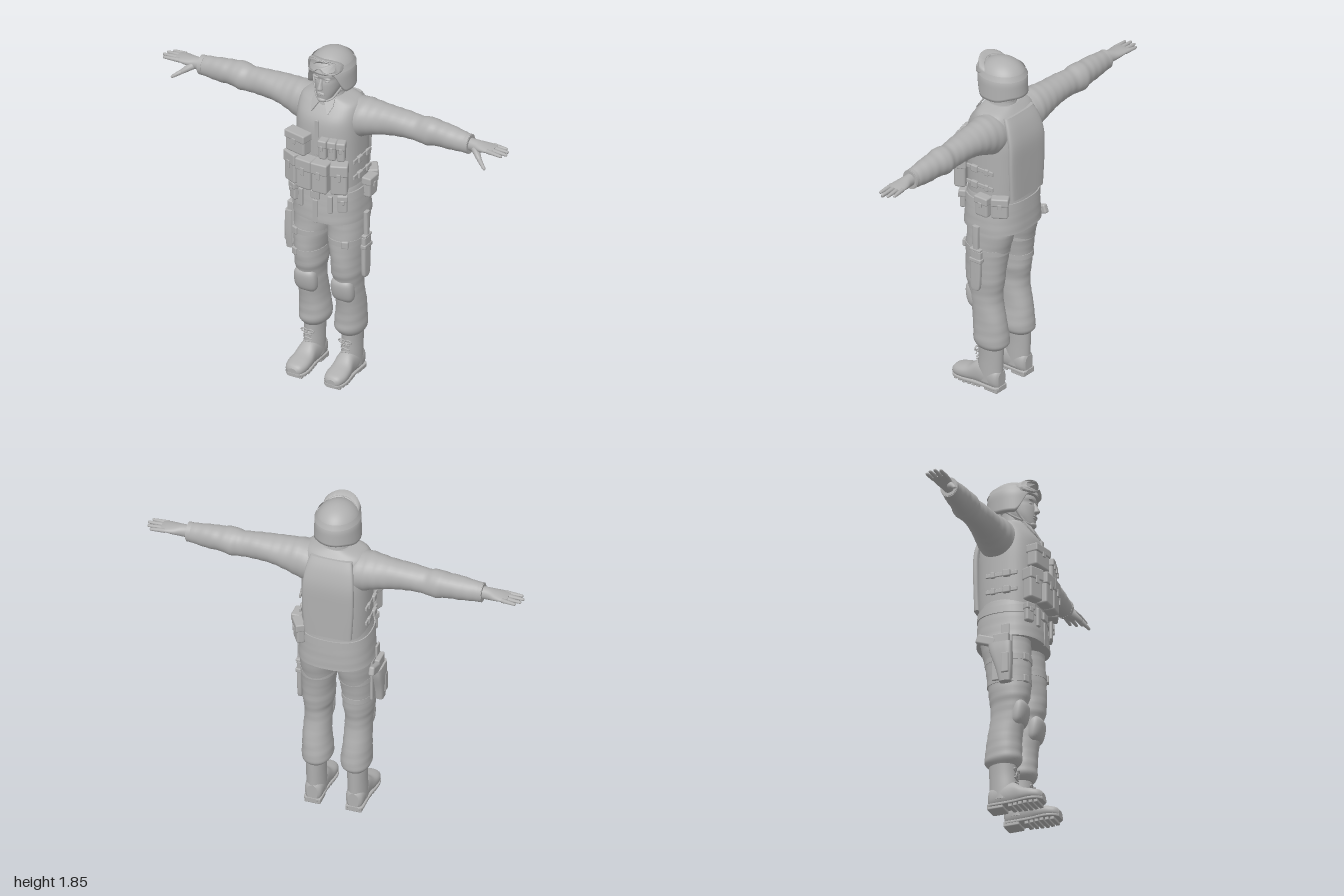
import * as THREE from 'three';
import { toCreasedNormals } from 'three/addons/utils/BufferGeometryUtils.js';
import { RoundedBoxGeometry } from 'three/addons/geometries/RoundedBoxGeometry.js';

const grey = new THREE.MeshStandardMaterial({ color: 0xb0b0b0, side: THREE.DoubleSide });
grey.name = 'grey';
const V = (x, y, z) => new THREE.Vector3(x, y, z);

// Smooth skin over closed rings of points, with optional flat end caps
function skin(rings, caps = true) {
  const n = rings[0].length, pos = [], idx = [];
  rings.forEach(r => r.forEach(p => pos.push(p.x, p.y, p.z)));
  for (let i = 0; i < rings.length - 1; i++) for (let j = 0; j < n; j++) {
    const a = i * n + j, b = i * n + (j + 1) % n;
    idx.push(a, b, a + n, b, b + n, a + n);
  }
  if (caps) [rings[0], rings[rings.length - 1]].forEach((r, k) => {
    const base = pos.length / 3, c = V(0, 0, 0);
    r.forEach(p => { pos.push(p.x, p.y, p.z); c.addScaledVector(p, 1 / n); });
    pos.push(c.x, c.y, c.z);
    for (let j = 0; j < n; j++) {
      const a = base + j, b = base + (j + 1) % n;
      k ? idx.push(a, b, base + n) : idx.push(b, a, base + n);
    }
  });
  const g = new THREE.BufferGeometry();
  g.setAttribute('position', new THREE.Float32BufferAttribute(pos, 3));
  g.setIndex(idx);
  g.computeVertexNormals();
  return g;
}

// Loft along an axis; a row is [t, centreA, centreB, radiusA, radiusB]
function loft(axis, rows, { e = 2, folds = 0, caps = true, steps = 4, n = 32 } = {}) {
  rows = [...rows].sort((p, q) => p[0] - q[0]);
  const at = i => rows[Math.max(0, Math.min(rows.length - 1, i))], rings = [];
  for (let i = 0; i < rows.length - 1; i++) for (let k = 0; k < steps + (i === rows.length - 2 ? 1 : 0); k++) {
    const u = k / steps;
    const [t, ca, cb, ra, rb] = rows[0].map((_, c) => {
      const [p, q, r, s] = [-1, 0, 1, 2].map(d => at(i + d)[c]);
      return q + 0.5 * u * (r - p + u * (2 * p - 5 * q + 4 * r - s + u * (3 * (q - r) + s - p)));
    });
    rings.push(Array.from({ length: n }, (_, j) => {
      const w = j / n * Math.PI * 2 * (axis === 'y' ? -1 : 1), C = Math.cos(w), S = Math.sin(w);
      const f = 1 + folds * Math.sin(2 * w + 45 * t) * Math.sin(70 * t - w);
      const a = ca + ra * f * Math.sign(C) * Math.abs(C) ** (2 / e);
      const b = cb + rb * f * Math.sign(S) * Math.abs(S) ** (2 / e);
      return axis === 'x' ? V(t, a, b) : axis === 'y' ? V(a, t, b) : V(a, b, t);
    }));
  }
  return skin(rings, caps);
}
// Body rows are [y, half width, front z, back z]
const body = rows => rows.map(([y, rx, f, b]) => [y, 0, (f + b) / 2, rx, (f - b) / 2]);

export function createModel() {
  const model = new THREE.Group();
  model.name = 'soldier';
  const add = (name, geo, x = 0, y = 0, z = 0, rx = 0, ry = 0, rz = 0) => {
    const m = new THREE.Mesh(geo, grey);
    m.name = name;
    m.position.set(x, y, z);
    m.rotation.set(rx, ry, rz);
    model.add(m);
    return m;
  };
  const box = (w, h, d, r = 0.006) => new RoundedBoxGeometry(w, h, d, 2, Math.min(r, w / 3, h / 3, d / 3));
  const ball = (name, x, y, z, a, b, c) => add(name, new THREE.SphereGeometry(1, 20, 14).scale(a, b, c), x, y, z);
  const tube = (name, pts, r, closed = false) =>
    add(name, new THREE.TubeGeometry(new THREE.CatmullRomCurve3(pts.map(p => V(...p)), closed), 32, r, 8, closed));
  const limb = (name, p, q, r0, r1) => {
    const d = V(...q).sub(V(...p)), L = d.length();
    const prof = [[0, 0], [r0, 0], [r1, L - r1], [r1 * 0.7, L - r1 * 0.3], [0, L]].map(c => new THREE.Vector2(...c));
    add(name, new THREE.LatheGeometry(prof, 10), ...p).quaternion.setFromUnitVectors(V(0, 1, 0), d.normalize());
  };
  // Pouch with an overhanging flap and a snap
  const pouch = (name, w, h, d, x, y, z, ry = 0) => {
    const g = new THREE.Group();
    g.name = name;
    [[box(w, h, d, 0.012), 0, 0], [box(w + 0.006, h * 0.38, d + 0.01, 0.008), h * 0.32, 0.001],
      [box(Math.min(0.022, w * 0.4), h * 0.25, 0.008), h * 0.12, d / 2 + 0.006]].forEach(([geo, py, pz], i) => {
      const m = new THREE.Mesh(geo, grey);
      m.name = ['pouchBody', 'pouchFlap', 'pouchTab'][i];
      m.position.set(0, py, pz);
      g.add(m);
    });
    g.position.set(x, y, z);
    g.rotation.y = ry;
    model.add(g);
  };

  // Torso, jacket skirt, back panel and belt
  add('vest', loft('y', body([[1.08, 0.172, 0.125, -0.187], [1.2, 0.174, 0.13, -0.19], [1.32, 0.175, 0.132, -0.19],
    [1.42, 0.175, 0.133, -0.188], [1.5, 0.172, 0.122, -0.172], [1.56, 0.167, 0.085, -0.148],
    [1.59, 0.145, 0.06, -0.125], [1.612, 0.075, 0.05, -0.105]]), { e: 2.6, n: 48 }));
  add('jacketSkirt', loft('y', body([[0.93, 0.194, 0.148, -0.2], [0.98, 0.19, 0.146, -0.198], [1.05, 0.184, 0.14, -0.195],
    [1.12, 0.176, 0.13, -0.19], [1.15, 0.17, 0.12, -0.185]]), { e: 2.5, n: 48, folds: 0.008 }));
  add('backPanel', loft('y', [[1.13, 0, -0.178, 0.125, 0.02], [1.3, 0, -0.18, 0.135, 0.02], [1.43, 0, -0.178, 0.135, 0.02],
    [1.52, 0, -0.155, 0.125, 0.02], [1.58, 0, -0.125, 0.11, 0.02]], { e: 3.5 }));
  add('belt', loft('y', body([[1.065, 0.188, 0.144, -0.198], [1.105, 0.184, 0.14, -0.196]]), { e: 2.5, n: 48 }));
  add('beltBuckle', box(0.05, 0.042, 0.012), 0, 1.085, 0.146);
  add('placket', box(0.03, 0.13, 0.008), 0, 0.99, 0.147);
  add('vestPlacket', box(0.025, 0.2, 0.008), 0, 1.41, 0.132);

  // Collar with two pointed wings
  add('collar', loft('y', [[1.555, 0, -0.02, 0.088, 0.1], [1.59, 0, -0.018, 0.074, 0.088], [1.625, 0, -0.024, 0.066, 0.074]],
    { caps: false }));
  for (const s of [-1, 1]) {
    const wing = new THREE.Shape([[0.004, 0.02], [0.06, 0.035], [0.062, -0.01], [0.046, -0.06]].map(p => new THREE.Vector2(p[0] * s, p[1])));
    add('collarWing', new THREE.ExtrudeGeometry(wing, { depth: 0.008, bevelEnabled: false }), 0, 1.59, 0.076, -0.6, s * 0.2);
  }

  // Front pouches
  pouch('chestPouch', 0.125, 0.118, 0.06, -0.098, 1.37, 0.148, -0.2);
  [0.05, 0.096, 0.141].forEach((x, i) => pouch('magazinePouch', 0.042, 0.11, 0.045, x, 1.37, 0.15 - i * 0.011, 0.13 + 0.12 * i));
  for (const s of [-1, 1]) {
    pouch('frontPouch', 0.086, 0.17, 0.065, s * 0.044, 1.212, 0.16, s * 0.06);
    pouch('sidePouch', 0.086, 0.17, 0.06, s * 0.132, 1.212, 0.132, s * 0.42);
    pouch('beltPouch', 0.05, 0.1, 0.03, s * 0.14, 1.06, 0.115, s * 0.5);
    add('beltTab', box(0.026, 0.1, 0.016), s * 0.085, 1.05, 0.144, 0, s * 0.2);
    // Side straps with buckles
    for (const y of [1.19, 1.28]) {
      add('sideStrap', box(0.01, 0.022, 0.17, 0.003), s * 0.175, y, -0.02);
      add('sideBuckle', box(0.02, 0.038, 0.04), s * 0.18, y, 0.01);
      add('sideBuckle', box(0.016, 0.034, 0.025), s * 0.178, y, -0.065);
    }
  }
  pouch('hipPouch', 0.078, 0.112, 0.045, 0.197, 1.098, -0.06, Math.PI / 2);
  pouch('hipPouch', 0.085, 0.115, 0.045, 0.165, 1.1, -0.142, Math.PI * 0.68);

  for (const s of [-1, 1]) {
    // Sleeves, hands and fingers
    const along = rows => rows.map(([x, ...r]) => [s * x, ...r]);
    add('sleeve', loft('x', along([[0.1, 1.475, -0.05, 0.11, 0.105], [0.17, 1.49, -0.053, 0.106, 0.1], [0.24, 1.502, -0.057, 0.09, 0.088],
      [0.32, 1.51, -0.06, 0.077, 0.077], [0.42, 1.512, -0.062, 0.07, 0.068], [0.49, 1.508, -0.064, 0.068, 0.063],
      [0.545, 1.51, -0.066, 0.074, 0.071], [0.6, 1.512, -0.066, 0.066, 0.062], [0.66, 1.51, -0.064, 0.064, 0.058],
      [0.73, 1.508, -0.062, 0.056, 0.05], [0.785, 1.507, -0.06, 0.05, 0.044]]), { folds: 0.03, steps: 5 }));
    add('cuff', loft('x', along([[0.762, 1.507, -0.06, 0.053, 0.047], [0.782, 1.507, -0.06, 0.053, 0.047]])));
    add('hand', loft('x', along([[0.76, 1.508, -0.06, 0.034, 0.03], [0.81, 1.508, -0.06, 0.032, 0.032], [0.85, 1.51, -0.062, 0.024, 0.042],
      [0.89, 1.513, -0.064, 0.016, 0.046], [0.92, 1.514, -0.066, 0.009, 0.043]])));
    [[-0.1, 0.972], [-0.078, 0.993], [-0.053, 1], [-0.03, 0.985]].forEach(([z, x]) =>
      limb('finger', [s * 0.895, 1.513, z], [s * x, 1.508, z - (z + 0.06) * -0.15], 0.0125, 0.008));
    limb('thumb', [s * 0.82, 1.5, -0.042], [s * 0.872, 1.462, 0], 0.022, 0.013);
    limb('thumbTip', [s * 0.866, 1.467, -0.005], [s * 0.912, 1.435, 0.022], 0.0125, 0.008);

    // Trousers with knee pads
    add('trouserLeg', loft('y', [[0.97, 0.092, -0.028, 0.093, 0.13], [0.9, 0.094, -0.028, 0.096, 0.128], [0.8, 0.1, -0.012, 0.09, 0.119],
      [0.7, 0.106, -0.005, 0.08, 0.113], [0.62, 0.106, -0.004, 0.079, 0.106], [0.57, 0.108, -0.006, 0.07, 0.095],
      [0.5, 0.107, -0.012, 0.068, 0.089], [0.4, 0.107, -0.03, 0.071, 0.09], [0.32, 0.103, -0.036, 0.077, 0.094],
      [0.27, 0.103, -0.038, 0.076, 0.095], [0.242, 0.106, -0.038, 0.056, 0.074]].map(([y, x, ...r]) => [y, s * x, ...r]),
    { folds: 0.022, steps: 5, e: 2.2 }));
    add('kneePad', loft('y', [[0.45, s * 0.107, 0.045, 0.04, 0.014], [0.475, s * 0.107, 0.047, 0.058, 0.035], [0.52, s * 0.107, 0.055, 0.063, 0.04],
      [0.565, s * 0.107, 0.06, 0.058, 0.036], [0.592, s * 0.107, 0.06, 0.04, 0.015]], { e: 2.5 }));

    // Boots: shaft, foot, sole, heel and laces
    const bx = s * 0.109;
    add('bootShaft', loft('y', [[0.05, bx, -0.035, 0.05, 0.073], [0.12, bx, -0.036, 0.05, 0.072], [0.19, bx, -0.04, 0.05, 0.07],
      [0.27, bx, -0.04, 0.054, 0.072]]));
    add('bootFoot', loft('z', [[-0.108, 0, 0.065, 0.028, 0.045], [-0.09, 0, 0.07, 0.045, 0.058], [-0.03, 0, 0.078, 0.05, 0.066],
      [0.03, 0, 0.078, 0.05, 0.064], [0.08, 0.002, 0.06, 0.056, 0.044], [0.13, 0.003, 0.052, 0.058, 0.036],
      [0.17, 0.003, 0.046, 0.046, 0.029], [0.185, 0.003, 0.04, 0.025, 0.018]].map(([z, x, ...r]) => [z, s * (x + 0.109), ...r]), { e: 2.3 }));
    const soleRows = [[-0.113, 0.028], [-0.095, 0.046], [-0.03, 0.047], [0.04, 0.05], [0.11, 0.06], [0.16, 0.053], [0.188, 0.026]];
    add('sole', loft('z', soleRows.map(([z, r]) => [z, s * 0.111, 0.024, r, 0.009]), { e: 5 }));
    add('heel', box(0.086, 0.03, 0.085), bx, 0.015, -0.066);
    for (let i = 0; i < 6; i++) add('tread', box(0.1 - Math.abs(i - 3) * 0.007, 0.022, 0.02, 0.003), s * 0.111, 0.011, 0.015 + i * 0.028);
    for (const k of [-1, 1]) {
      tube('laceLoop', [[bx, 0.205, 0.034], [bx + k * 0.02, 0.218, 0.04], [bx + k * 0.036, 0.208, 0.036], [bx + k * 0.02, 0.198, 0.038]], 0.004, true);
      tube('laceEnd', [[bx, 0.205, 0.034], [bx + k * 0.014, 0.19, 0.042], [bx + k * 0.02, 0.172, 0.04]], 0.003);
    }
    for (let i = 0; i < 4; i++) add('lace', box(0.05, 0.006, 0.008, 0.002), bx, 0.125 + i * 0.02, 0.035, 0, 0, i % 2 ? 0.15 : -0.15);
  }

  // Thigh straps
  const strap = (s, y, x, z, rx, rz) => {
    add('thighStrap', loft('y', [[y - 0.014, s * x, z, rx, rz], [y + 0.014, s * x, z, rx, rz]], { e: 2.2 }));
    add('strapBuckle', box(0.036, 0.04, 0.016), s * 0.145, y, z + rz * 0.92, 0, s * 0.4);
  };
  strap(-1, 0.815, 0.1, -0.012, 0.092, 0.122);
  strap(-1, 0.695, 0.106, -0.005, 0.083, 0.116);
  strap(1, 0.81, 0.1, -0.012, 0.092, 0.122);

  // Holster with pistol on the right thigh
  add('holsterPlate', box(0.014, 0.24, 0.11), -0.19, 0.81, -0.01);
  add('holster', loft('y', [[0.665, -0.212, 0.015, 0.02, 0.03], [0.74, -0.214, 0.01, 0.024, 0.042], [0.83, -0.215, -0.005, 0.026, 0.058],
    [0.88, -0.214, -0.01, 0.024, 0.062]], { e: 4 }));
  add('holsterPocket', box(0.022, 0.11, 0.04), -0.232, 0.76, 0.022);
  add('pistolSlide', box(0.028, 0.07, 0.085), -0.214, 0.895, -0.005);
  add('pistolGrip', box(0.03, 0.05, 0.11, 0.012), -0.214, 0.905, -0.085, 0.35);
  add('holsterHanger', box(0.012, 0.13, 0.045), -0.198, 0.925, 0.01);

  // Knife in its sheath on the left thigh
  add('sheath', loft('y', [[0.595, 0.2, -0.012, 0.01, 0.018], [0.63, 0.2, -0.014, 0.013, 0.03], [0.82, 0.2, -0.018, 0.014, 0.034]], { e: 4 }));
  add('sheathBand', box(0.034, 0.024, 0.074), 0.2, 0.77, -0.018);
  add('knifeGuard', box(0.028, 0.014, 0.066), 0.203, 0.83, -0.018);
  add('knifeHandle', loft('y', [[0.83, 0.203, -0.018, 0.012, 0.016], [0.9, 0.203, -0.018, 0.013, 0.017], [0.965, 0.203, -0.018, 0.011, 0.019]], { e: 3 }));

  // Neck, head and face
  add('neck', loft('y', [[1.56, 0, -0.03, 0.06, 0.062], [1.68, 0, -0.025, 0.056, 0.06]]));
  add('head', loft('y', [[1.592, 0, 0.056, 0.018, 0.022], [1.605, 0, 0.046, 0.036, 0.042], [1.635, 0, 0.026, 0.052, 0.066],
    [1.665, 0, 0.01, 0.062, 0.084], [1.7, 0, 0, 0.067, 0.094], [1.725, 0, -0.006, 0.069, 0.095], [1.75, 0, -0.006, 0.07, 0.1], [1.8, 0, -0.015, 0.065, 0.09]], { e: 2.2 }));
  add('nose', loft('y', [[1.667, 0, 0.09, 0.008, 0.01], [1.676, 0, 0.098, 0.016, 0.019], [1.7, 0, 0.093, 0.01, 0.015], [1.728, 0, 0.086, 0.008, 0.007]]));
  ball('upperLip', 0, 1.65, 0.094, 0.022, 0.005, 0.008);
  ball('lowerLip', 0, 1.641, 0.089, 0.02, 0.006, 0.009);
  for (const s of [-1, 1]) {
    ball('eye', s * 0.028, 1.716, 0.077, 0.013, 0.007, 0.01);
    ball('brow', s * 0.03, 1.735, 0.083, 0.022, 0.006, 0.01);
    tube('chinStrap', [[s * 0.088, 1.685, 0.015], [s * 0.066, 1.645, 0.035], [s * 0.045, 1.612, 0.058], [s * 0.012, 1.602, 0.086]], 0.006);
    tube('rearStrap', [[s * 0.088, 1.68, -0.05], [s * 0.068, 1.645, 0], [s * 0.05, 1.62, 0.05]], 0.005);
  }
  ball('chinCup', 0, 1.607, 0.078, 0.026, 0.014, 0.02);

  // Helmet: dome whose lower edge drops from the brow to the ears
  const rings = [], N = 64;
  for (let i = -1; i <= 20; i++) rings.push(Array.from({ length: N }, (_, j) => {
    const phi = j / N * Math.PI * 2, off = Math.min(phi, Math.PI * 2 - phi);
    const edge = 1.762 - 0.105 * THREE.MathUtils.smoothstep(off, 0.55, 1.2) + 0.018 * THREE.MathUtils.smoothstep(off, 1.8, 2.6);
    const end = edge > 1.74 ? Math.acos((edge - 1.74) / 0.112) : Math.PI / 2 + (1.74 - edge) / 0.112;
    const a = end * (1 - Math.max(i, 0) / 20), low = a > Math.PI / 2;
    const y = 1.74 + 0.112 * (low ? Math.PI / 2 - a : Math.cos(a));
    const r = (low ? 1 + 0.02 * (a - Math.PI / 2) : Math.sin(a)) * (i < 0 ? 0.8 : 1);
    return V(0.117 * r * Math.sin(phi), y, -0.026 + 0.134 * r * Math.cos(phi));
  }));
  add('helmet', skin(rings, false));
  add('goggleStrap', loft('y', [[1.772, 0, -0.026, 0.117, 0.134], [1.8, 0, -0.026, 0.105, 0.121]], { n: 48, caps: false }));

  // Goggles resting on the helmet, bent around its front
  const outline = (P, k) => {
    P.moveTo(0, 0.034 * k);
    P.bezierCurveTo(0.06 * k, 0.037 * k, 0.096 * k, 0.03 * k, 0.094 * k, -0.004);
    P.bezierCurveTo(0.09 * k, -0.04 * k, 0.03 * k, -0.042 * k, 0.018 * k, -0.022 * k);
    P.quadraticCurveTo(0, -0.006 * k, -0.018 * k, -0.022 * k);
    P.bezierCurveTo(-0.03 * k, -0.042 * k, -0.09 * k, -0.04 * k, -0.094 * k, -0.004);
    P.bezierCurveTo(-0.096 * k, 0.03 * k, -0.06 * k, 0.037 * k, 0, 0.034 * k);
    return P;
  };
  const bend = geo => {
    const p = geo.attributes.position;
    for (let i = 0; i < p.count; i++) p.setZ(i, p.getZ(i) - 6.5 * p.getX(i) ** 2);
    return toCreasedNormals(geo, 0.7);
  };
  const frame = outline(new THREE.Shape(), 1);
  frame.holes.push(outline(new THREE.Path(), 0.8));
  add('goggleFrame', bend(new THREE.ExtrudeGeometry(frame, { depth: 0.032, bevelSize: 0.003, bevelThickness: 0.004, bevelSegments: 2, curveSegments: 14 })),
    0, 1.801, 0.077, -0.3);
  add('goggleLens', bend(new THREE.ExtrudeGeometry(outline(new THREE.Shape(), 0.86), { depth: 0.02, bevelEnabled: false, curveSegments: 14 })),
    0, 1.801, 0.081, -0.3);
  return model;
}
